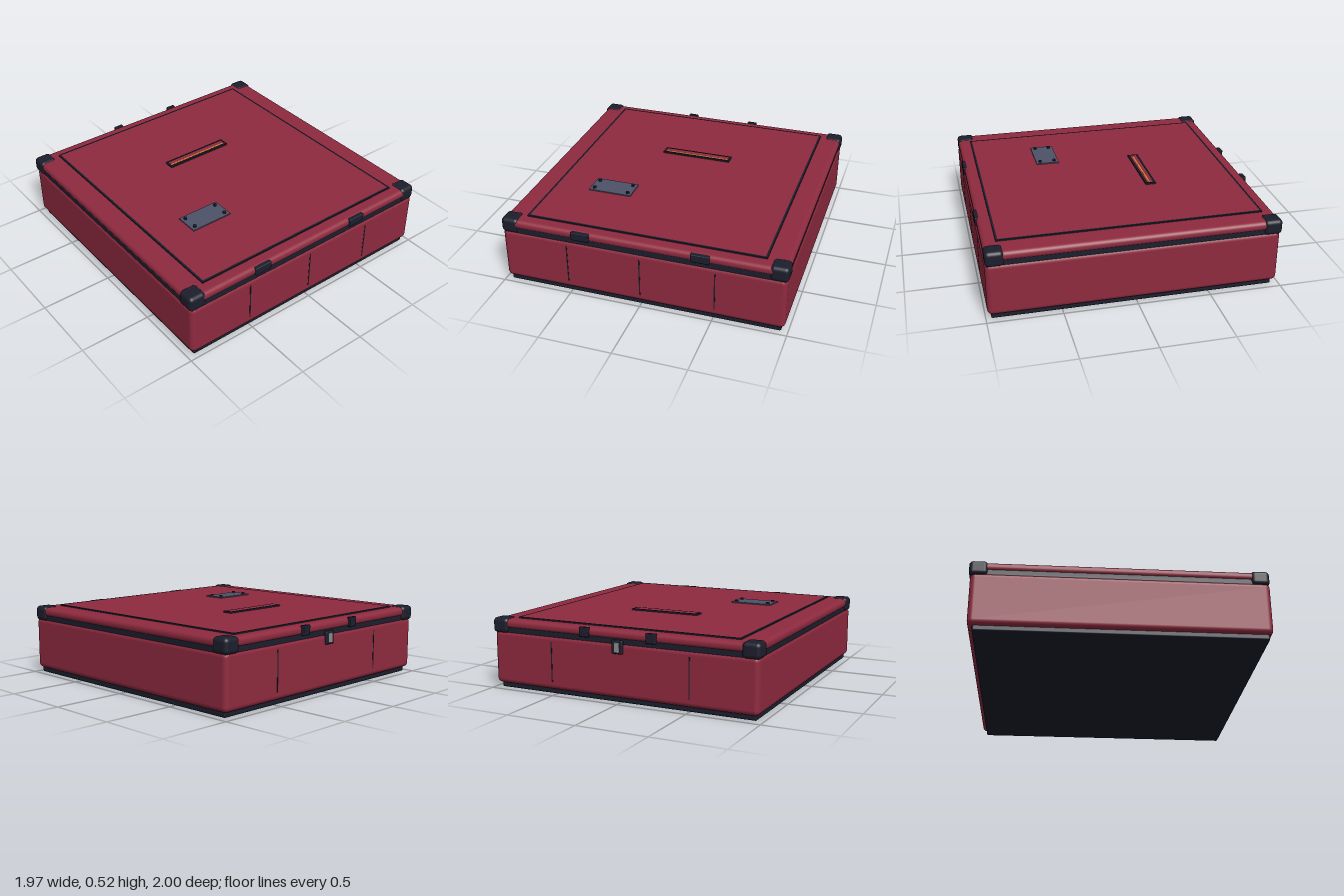
import * as THREE from 'three';
import { RoundedBoxGeometry } from 'three/addons/geometries/RoundedBoxGeometry.js';

const paint = (color) => new THREE.MeshStandardMaterial({ color });
const red = paint(0x8f2a3f);
const dark = paint(0x1c1e2c);
const slate = paint(0x4c5268);
const metal = paint(0x8a8c92);
const amber = paint(0xd08a20);

// Box given by its limits on each axis; r rounds the edges
function block(parent, name, mat, [x0, x1], [y0, y1], [z0, z1], r = 0) {
  const w = x1 - x0, h = y1 - y0, d = z1 - z0;
  const geo = r ? new RoundedBoxGeometry(w, h, d, 4, r) : new THREE.BoxGeometry(w, h, d);
  const mesh = new THREE.Mesh(geo, mat);
  mesh.name = name;
  mesh.position.set((x0 + x1) / 2, (y0 + y1) / 2, (z0 + z1) / 2);
  parent.add(mesh);
  return mesh;
}

// Flat rectangular frame lying on the lid
function frame(parent, name, mat, [x0, x1], [z0, z1], t, y0, y1) {
  const rect = (C, i) => {
    const p = new C();
    p.moveTo(x0 + i, -z0 - i).lineTo(x1 - i, -z0 - i).lineTo(x1 - i, -z1 + i).lineTo(x0 + i, -z1 + i).closePath();
    return p;
  };
  const shape = rect(THREE.Shape, 0);
  shape.holes.push(rect(THREE.Path, t));
  const geo = new THREE.ExtrudeGeometry(shape, { depth: y1 - y0, bevelEnabled: false });
  geo.rotateX(-Math.PI / 2);
  const mesh = new THREE.Mesh(geo, mat);
  mesh.name = name;
  mesh.position.y = y0;
  parent.add(mesh);
}

export function createModel() {
  const model = new THREE.Group();
  model.name = 'flatCase';

  // Main shell
  block(model, 'base', dark, [-0.955, 0.955], [0, 0.06], [-0.945, 0.965], 0.012);
  block(model, 'body', red, [-0.98, 0.98], [0.035, 0.41], [-0.978, 0.988], 0.035);
  block(model, 'seam', dark, [-0.972, 0.972], [0.39, 0.445], [-0.97, 0.98], 0.01);
  block(model, 'lid', red, [-0.98, 0.98], [0.425, 0.49], [-0.978, 0.985], 0.03);

  // Raised lid panel with dark trim
  block(model, 'lidPanel', red, [-0.818, 0.818], [0.48, 0.498], [-0.89, 0.89]);
  frame(model, 'lidTrim', dark, [-0.828, 0.828], [-0.898, 0.898], 0.014, 0.48, 0.499);

  // Corner guards
  for (const sx of [-1, 1]) for (const sz of [-1, 1]) {
    const guard = block(model, 'cornerGuard', dark, [-0.062, 0.062], [0.392, 0.497], [-0.062, 0.062], 0.028);
    guard.position.x = sx * 0.925;
    guard.position.z = sz * 0.925;
  }

  // Slot on the lid
  const slot = new THREE.Group();
  slot.name = 'slot';
  model.add(slot);
  frame(slot, 'slotFrame', dark, [-0.257, 0.257], [-0.32, -0.245], 0.015, 0.495, 0.509);
  block(slot, 'slotStrip', amber, [-0.24, 0.24], [0.49, 0.4985], [-0.288, -0.278]);

  // Plate with four screws
  const plate = new THREE.Group();
  plate.name = 'plate';
  model.add(plate);
  block(plate, 'plateSheet', slate, [-0.57, -0.26], [0.49, 0.506], [0.289, 0.455]);
  for (const x of [-0.54, -0.29]) for (const z of [0.32, 0.425]) {
    const screw = new THREE.Mesh(new THREE.CylinderGeometry(0.012, 0.012, 0.02, 16), dark);
    screw.name = 'screw';
    screw.position.set(x, 0.507, z);
    plate.add(screw);
  }

  // Front latches and rear hinges
  for (const s of [-1, 1]) {
    const latch = block(model, 'latch', dark, [-0.063, 0.063], [0.43, 0.487], [0.963, 0.996], 0.006);
    latch.position.x = s * 0.412;
    const hinge = block(model, 'hinge', dark, [-0.035, 0.035], [0.425, 0.492], [-0.994, -0.965], 0.006);
    hinge.position.x = s * 0.248;
  }

  // Rear lock
  block(model, 'lockPlate', dark, [-0.04, 0.04], [0.335, 0.425], [-0.992, -0.965], 0.008);
  block(model, 'lockTongue', metal, [-0.02, 0.02], [0.345, 0.412], [-1, -0.98], 0.006);

  // Thin vertical grooves on front and back
  for (const x of [-0.513, 0, 0.513]) {
    block(model, 'frontGroove', dark, [x - 0.004, x + 0.004], [0.09, 0.365], [0.98, 0.99]);
    if (x) block(model, 'backGroove', dark, [x - 0.004, x + 0.004], [0.09, 0.365], [-0.98, -0.97]);
  }
  return model;
}
